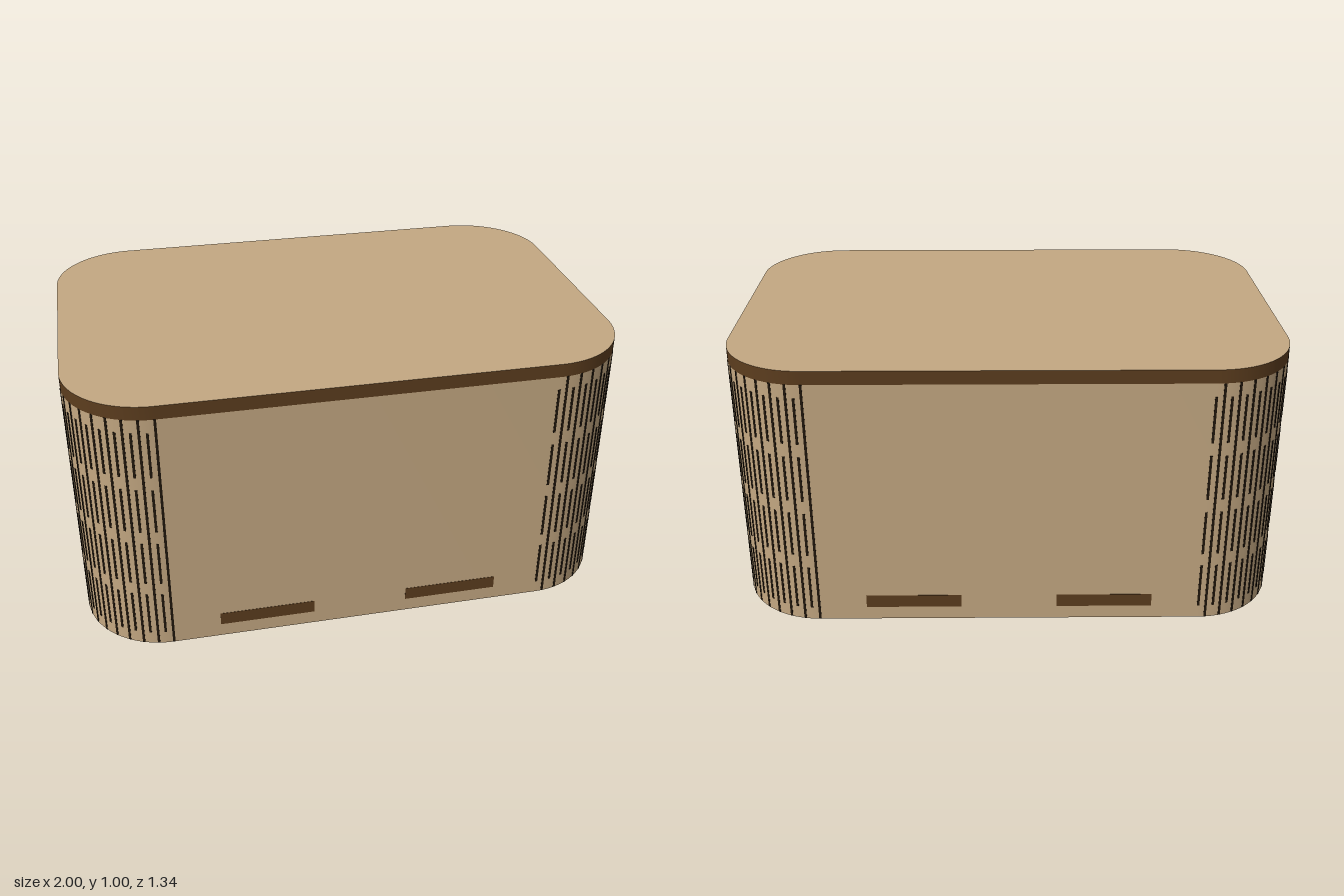
import * as THREE from 'three';
import { mergeGeometries, toCreasedNormals } from 'three/addons/utils/BufferGeometryUtils.js';

const W = 1, D = 0.667, R = 0.3, T = 0.05; // half width, half depth, corner radius, board thickness
const LID_Y = 0.95;

const material = (name, color) => Object.assign(new THREE.MeshStandardMaterial({ color }), { name });

// Rounded rectangle, shrunk by an inset
function outline(inset, Type = THREE.Shape) {
  const w = W - inset, d = D - inset, r = R - inset;
  const s = new Type();
  s.moveTo(w - r, -d);
  s.absarc(w - r, -d + r, r, -Math.PI / 2, 0);
  s.absarc(w - r, d - r, r, 0, Math.PI / 2);
  s.absarc(-w + r, d - r, r, Math.PI / 2, Math.PI);
  s.absarc(-w + r, -d + r, r, Math.PI, Math.PI * 1.5);
  s.closePath();
  return s;
}

// Board lying flat, standing on y with the given height
function board(name, shape, y, height, faceMat, edgeMat) {
  const geo = new THREE.ExtrudeGeometry(shape, { depth: height, bevelEnabled: false, curveSegments: 24 });
  geo.rotateX(-Math.PI / 2);
  const mesh = new THREE.Mesh(toCreasedNormals(geo, 0.6), [faceMat, edgeMat]);
  mesh.name = name;
  mesh.position.y = y;
  return mesh;
}

export function createModel() {
  const wood = material('light wood', 0xc4a882);
  const burnt = material('burnt edge brown', 0x5c3d1e);
  const dark = material('slit dark brown', 0x20160b);
  const group = new THREE.Group();
  group.name = 'box';

  // Bent wall, lid and raised floor
  const ring = outline(0);
  ring.holes.push(outline(T, THREE.Path));
  group.add(board('wall', ring, 0, LID_Y, burnt, wood));
  group.add(board('lid', outline(0), LID_Y, T, wood, burnt));
  group.add(board('floor', outline(T), 0.05, T, wood, burnt));

  // Bending slits: dashed and full-height columns alternate round each corner
  const columns = 18;
  const dashes = [0.05, 0.275, 0.5, 0.725].map(y => [y, y + 0.175]);
  const full = [[0.001, LID_Y]];
  [[1, 1], [1, -1], [-1, -1], [-1, 1]].forEach(([sx, sz], corner) => {
    const slits = [];
    for (let k = 0; k < columns; k++) {
      const angle = (corner + k / (columns - 1)) * Math.PI / 2;
      for (const [y0, y1] of k % 2 ? full : dashes) {
        const slit = new THREE.BoxGeometry(0.009, y1 - y0, T + 0.003);
        slit.translate(0, (y0 + y1) / 2, R - T / 2);
        slit.rotateY(angle);
        slit.translate(sx * (W - R), 0, sz * (D - R));
        slits.push(slit);
      }
    }
    const mesh = new THREE.Mesh(mergeGeometries(slits), dark);
    mesh.name = 'cornerSlits';
    group.add(mesh);
  });

  // Floor tabs showing through the wall
  function tab(name, sx, sz, x, z) {
    const mesh = new THREE.Mesh(new THREE.BoxGeometry(sx, 0.05, sz), burnt);
    mesh.name = name;
    mesh.position.set(x, 0.077, z);
    group.add(mesh);
  }
  const depth = T + 0.002;
  for (const side of [-1, 1]) {
    for (const x of [-0.35, 0.35]) tab(side > 0 ? 'frontTab' : 'backTab', 0.35, depth, x, side * (D - T / 2));
    tab(side > 0 ? 'leftTab' : 'rightTab', depth, 0.37, side * (W - T / 2), 0);
  }
  return group;
}
